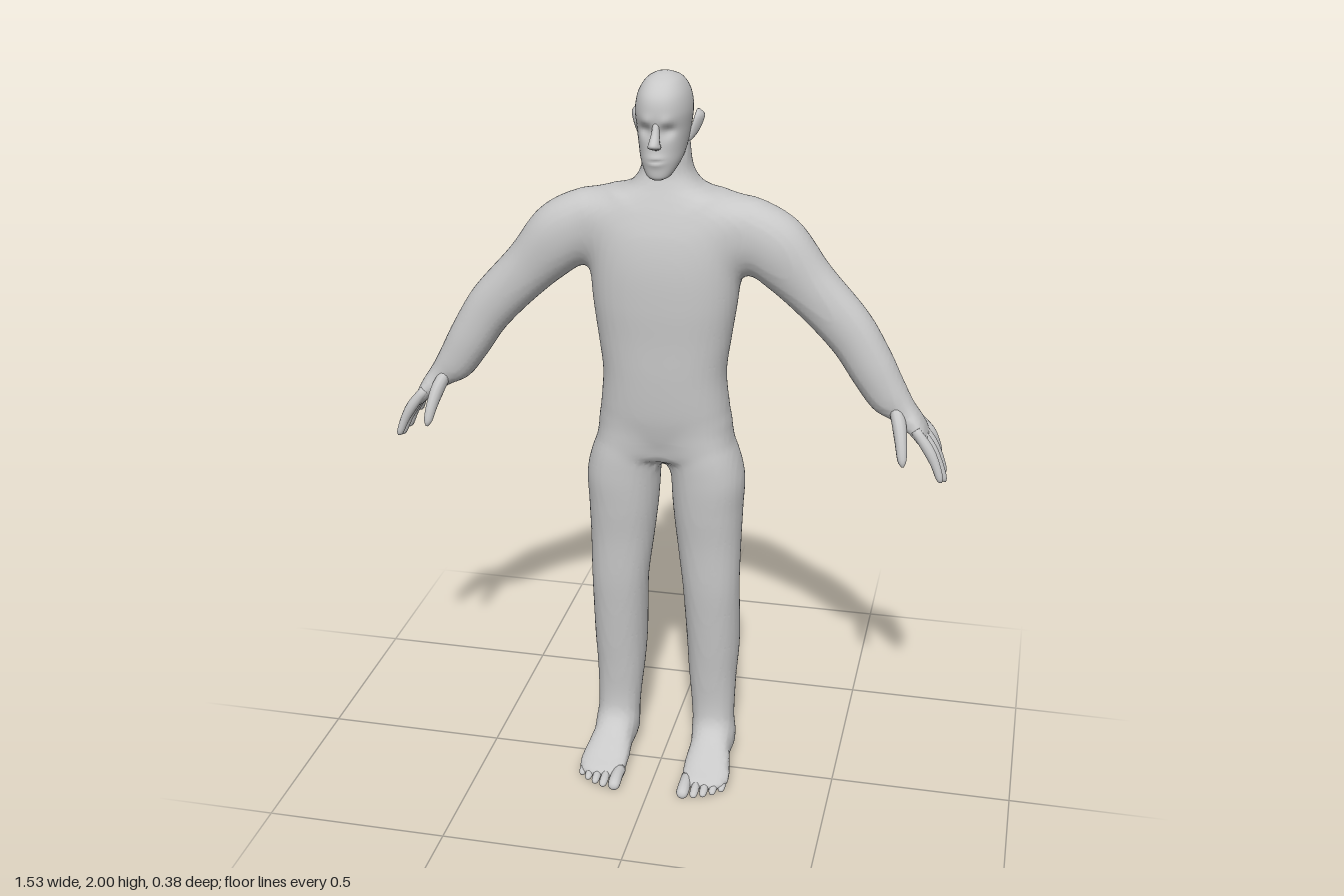
import * as THREE from 'three';

const skin = new THREE.MeshStandardMaterial({ color: 0xc8c8c8 });
skin.name = 'plain grey';

const X = new THREE.Vector3(1, 0, 0);
const Y = new THREE.Vector3(0, 1, 0);
const Z = new THREE.Vector3(0, 0, 1);

function finish(name, pos, index) {
  const g = new THREE.BufferGeometry();
  g.setAttribute('position', new THREE.Float32BufferAttribute(pos, 3));
  g.setIndex(index);
  g.computeVertexNormals();
  const mesh = new THREE.Mesh(g, skin);
  mesh.name = name;
  return mesh;
}

// Smooth closed skin through sections [x, y, z, a, b]: a is the half size along ref,
// b the half size across it. A fixed axis must point along the path. side mirrors x.
function loft(name, sections, { ref = Z, axis = null, side = 1, sides = 12, steps = 4, power = 2, shape = null } = {}) {
  const path = new THREE.CatmullRomCurve3(sections.map(s => new THREE.Vector3(s[0] * side, s[1], s[2])), false, 'catmullrom');
  const size = new THREE.CatmullRomCurve3(sections.map(s => new THREE.Vector3(s[3], s[4], 0)), false, 'catmullrom');
  const rings = (sections.length - 1) * steps;
  const pos = [], index = [];
  const add = v => { if (shape) shape(v); pos.push(v.x, v.y, v.z); };
  const bend = v => Math.sign(v) * Math.pow(Math.abs(v), 2 / power);
  for (let i = 0; i <= rings; i++) {
    const c = path.getPoint(i / rings), r = size.getPoint(i / rings);
    const t = axis || path.getTangent(i / rings);
    const v = ref.clone().addScaledVector(t, -ref.dot(t)).normalize();
    const u = v.clone().cross(t);
    for (let j = 0; j < sides; j++) {
      const w = j / sides * Math.PI * 2;
      add(c.clone().addScaledVector(u, r.y * bend(Math.cos(w))).addScaledVector(v, r.x * bend(Math.sin(w))));
    }
  }
  for (let i = 0; i < rings; i++) for (let j = 0; j < sides; j++) {
    const a = i * sides + j, b = i * sides + (j + 1) % sides;
    index.push(a, b, b + sides, a, b + sides, a + sides);
  }
  // end caps
  const first = (rings + 1) * sides, last = rings * sides;
  add(path.getPoint(0));
  add(path.getPoint(1));
  for (let j = 0; j < sides; j++) {
    const k = (j + 1) % sides;
    index.push(first, k, j, first + 1, last + j, last + k);
  }
  return finish(name, pos, index);
}

// Distance to a limb with rows [s, u, v, half u, half v] along its axis, smoothly interpolated
function limb(axis, uDir, vDir, power, rows) {
  const end = rows.length - 1;
  const slope = rows.map((r, i) => {
    const a = rows[Math.max(i - 1, 0)], b = rows[Math.min(i + 1, end)];
    return r.map((_, n) => (b[n] - a[n]) / (b[0] - a[0]));
  });
  return p => {
    const along = p.dot(axis), s = THREE.MathUtils.clamp(along, rows[0][0], rows[end][0]);
    let i = 0;
    while (i < end - 1 && s > rows[i + 1][0]) i++;
    const a = rows[i], b = rows[i + 1], len = b[0] - a[0], t = (s - a[0]) / len;
    const at = n => a[n] * (1 + 2 * t) * (1 - t) ** 2 + b[n] * t * t * (3 - 2 * t)
      + len * t * (1 - t) * (slope[i][n] * (1 - t) - slope[i + 1][n] * t);
    const du = p.dot(uDir) - at(1), dv = p.dot(vDir) - at(2);
    const ru = Math.max(at(3), 0.003), rv = Math.max(at(4), 0.003);
    const k = Math.pow(Math.pow(Math.abs(du) / ru, power) + Math.pow(Math.abs(dv) / rv, power), 1 / power);
    const d = k < 0.05 ? -Math.min(ru, rv) : (k - 1) * Math.hypot(du, dv) / k;
    return Math.max(d, rows[0][0] - along, along - rows[end][0]);
  };
}

function blend(a, b, k) {
  const h = Math.max(k - Math.abs(a - b), 0) / k;
  return Math.min(a, b) - h * h * k / 4;
}

// Skin over a distance field, one vertex per crossed cell
function skinField(name, field, min, max, h) {
  const n = min.map((m, a) => Math.ceil((max[a] - m) / h) + 1);
  const step = [1, n[0], n[0] * n[1]];
  const f = new Float32Array(step[2] * n[2]), ids = new Int32Array(f.length);
  const pos = [], index = [], p = new THREE.Vector3();
  const each = (from, cut, fn) => {
    for (let k = from; k < n[2] - cut; k++) for (let j = from; j < n[1] - cut; j++)
      for (let i = from; i < n[0] - cut; i++) fn(i + j * step[1] + k * step[2], [i, j, k]);
  };
  each(0, 0, (id, c) => { f[id] = field(p.set(min[0] + c[0] * h, min[1] + c[1] * h, min[2] + c[2] * h)); });
  each(0, 1, (id, c) => {
    const sum = [0, 0, 0];
    let count = 0;
    for (let a = 0; a < 3; a++) for (let q = 0; q < 4; q++) {
      const b = (a + 1) % 3, e = (a + 2) % 3, ob = q & 1, oe = q >> 1;
      const g = id + ob * step[b] + oe * step[e], f0 = f[g], f1 = f[g + step[a]];
      if ((f0 < 0) === (f1 < 0)) continue;
      sum[a] += f0 / (f0 - f1);
      sum[b] += ob;
      sum[e] += oe;
      count++;
    }
    if (!count) return;
    ids[id] = pos.length / 3;
    pos.push(...c.map((v, a) => min[a] + (v + sum[a] / count) * h));
  });
  each(1, 1, id => {
    for (let a = 0; a < 3; a++) {
      if ((f[id] < 0) === (f[id + step[a]] < 0)) continue;
      const sb = step[(a + 1) % 3], sc = step[(a + 2) % 3];
      const q = [id - sb - sc, id - sc, id, id - sb].map(g => ids[g]);
      if (f[id] >= 0) q.reverse();
      index.push(q[0], q[1], q[2], q[0], q[2], q[3]);
    }
  });
  return finish(name, pos, index);
}

// Upright sections given as [y, front z, back z, half width, x]
const upright = rows => rows.map(([y, f, b, w, x = 0]) => [y, x, (f + b) / 2, w, (f - b) / 2]);
const bump = (dx, dy, r) => Math.exp(-(dx * dx + dy * dy) / (r * r));

// Torso, arms, legs and feet joined in one seamless skin
function makeBody() {
  const torso = limb(Y, X, Z, 2.4, upright([
    [0.935, -0.03, -0.09, 0.02], [0.955, 0.02, -0.13, 0.08], [0.995, 0.036, -0.155, 0.155],
    [1.05, 0.05, -0.167, 0.179], [1.1, 0.058, -0.165, 0.174], [1.2, 0.065, -0.158, 0.166], [1.3, 0.068, -0.164, 0.178],
    [1.4, 0.072, -0.177, 0.192], [1.5, 0.07, -0.19, 0.2], [1.58, 0.058, -0.19, 0.205],
    [1.64, 0.038, -0.177, 0.2], [1.68, 0.02, -0.163, 0.15], [1.705, 0.008, -0.153, 0.097],
    [1.74, -0.005, -0.142, 0.07], [1.79, -0.008, -0.138, 0.06], [1.86, -0.03, -0.135, 0.054],
  ]));
  const slant = 0.736;
  const armAxis = new THREE.Vector3(Math.cos(slant), -Math.sin(slant), 0);
  const armUp = new THREE.Vector3(Math.sin(slant), Math.cos(slant), 0);
  const arm = limb(armAxis, armUp, Z, 2.2, [
    [-1.02, 1.29, -0.075, 0.06, 0.06], [-0.94, 1.316, -0.075, 0.086, 0.078], [-0.83, 1.336, -0.075, 0.092, 0.08],
    [-0.69, 1.328, -0.077, 0.074, 0.068], [-0.53, 1.315, -0.077, 0.068, 0.062], [-0.42, 1.286, -0.077, 0.064, 0.061],
    [-0.34, 1.264, -0.075, 0.055, 0.054], [-0.28, 1.261, -0.073, 0.036, 0.046], [-0.23, 1.258, -0.072, 0.025, 0.058],
    [-0.195, 1.25, -0.073, 0.017, 0.065], [-0.175, 1.242, -0.073, 0.009, 0.056],
  ]);
  const leg = limb(Y, X, Z, 2.2, upright([
    [0.06, -0.01, -0.125, 0.046, 0.144], [0.1, -0.008, -0.132, 0.057, 0.141], [0.18, -0.015, -0.133, 0.062, 0.138],
    [0.27, -0.01, -0.152, 0.068, 0.135], [0.36, -0.001, -0.168, 0.074, 0.135], [0.47, 0.01, -0.153, 0.077, 0.133],
    [0.57, 0.019, -0.136, 0.08, 0.13], [0.7, 0.025, -0.15, 0.089, 0.123], [0.8, 0.034, -0.162, 0.096, 0.119],
    [0.9, 0.04, -0.168, 0.1, 0.117], [1.0, 0.036, -0.16, 0.088, 0.1], [1.08, 0.01, -0.13, 0.05, 0.09],
  ]));
  const foot = limb(Z, X, Y, 2.3, [
    [-0.145, 0.143, 0.042, 0.015, 0.018], [-0.125, 0.143, 0.045, 0.044, 0.042], [-0.07, 0.143, 0.055, 0.055, 0.058],
    [-0.005, 0.144, 0.053, 0.057, 0.055], [0.055, 0.147, 0.036, 0.065, 0.04], [0.105, 0.15, 0.022, 0.067, 0.025],
    [0.135, 0.145, 0.018, 0.058, 0.015], [0.148, 0.14, 0.016, 0.045, 0.008],
  ]);
  const field = p => {
    p.x = Math.abs(p.x);
    let d = blend(leg(p), foot(p), 0.04);
    const shoulder = arm(p);
    if (p.z < -0.08 && p.y < 1.7) p.z -= 0.012 * Math.exp(-((p.x / 0.035) ** 2)); // spine groove
    d = blend(d, blend(torso(p), shoulder, 0.055), 0.04);
    return Math.max(d, -p.y); // flat soles
  };
  return skinField('body', field, [-0.76, -0.02, -0.215], [0.76, 1.89, 0.17], 0.0112);
}

function makeHead() {
  const head = new THREE.Group();
  head.name = 'head';
  const skull = upright([
    [1.742, 0.055, 0.015, 0.015], [1.752, 0.064, -0.015, 0.032], [1.785, 0.067, -0.085, 0.051],
    [1.82, 0.067, -0.13, 0.06], [1.865, 0.066, -0.145, 0.067], [1.91, 0.071, -0.149, 0.071],
    [1.95, 0.063, -0.14, 0.064], [1.98, 0.035, -0.11, 0.047], [1.995, 0.0, -0.07, 0.025], [2.0, -0.025, -0.045, 0.008],
  ]);
  head.add(loft('skull', skull.map(([y, x, z, w, d]) => [x, y, z, d, w]), {
    axis: Y, sides: 48, steps: 8, power: 2.2,
    shape: v => { // eye sockets, brow, lips and mouth line
      if (v.z < 0.01) return;
      const x = Math.abs(v.x);
      v.z -= 0.013 * bump(x - 0.03, v.y - 1.868, 0.016);
      v.z += 0.005 * bump(x - 0.025, v.y - 1.893, 0.014);
      v.z += 0.008 * bump(x * 0.6, v.y - 1.793, 0.014);
      v.z -= 0.007 * bump(x * 0.3, v.y - 1.793, 0.005);
    },
  }));
  head.add(loft('nose', [
    [0, 1.822, 0.064, 0.006, 0.008], [0, 1.832, 0.08, 0.02, 0.017], [0, 1.843, 0.084, 0.022, 0.014],
    [0, 1.865, 0.07, 0.014, 0.01], [0, 1.89, 0.06, 0.009, 0.008],
  ], { axis: Y, sides: 16 }));
  for (const s of [1, -1]) {
    head.add(loft('ear', [
      [0.062, 1.822, -0.056, 0.006, 0.005], [0.069, 1.84, -0.062, 0.014, 0.009], [0.076, 1.865, -0.069, 0.02, 0.01],
      [0.079, 1.885, -0.073, 0.018, 0.009], [0.076, 1.9, -0.072, 0.004, 0.003],
    ], { side: s, axis: Y, shape: v => { v.x += s * (-0.06 - v.z) * 0.35; } }));
  }
  return head;
}

function makeFingers(s) {
  const hand = new THREE.Group();
  hand.name = s > 0 ? 'leftFingers' : 'rightFingers';
  // knuckle z, tip z, tip x, tip y
  for (const [k, t, x, y] of [[-0.024, -0.006, 0.752, 0.955], [-0.057, -0.055, 0.76, 0.937], [-0.09, -0.103, 0.756, 0.942], [-0.12, -0.146, 0.737, 0.978]]) {
    const at = (f, lift, r) => [0.675 + (x - 0.675) * f + lift, 1.09 + (y - 1.09) * f, k + (t - k) * f, r, r * 0.95];
    hand.add(loft('finger', [at(0, 0, 0.013), at(0.35, 0.009, 0.016), at(0.65, 0.008, 0.013), at(0.92, 0.001, 0.01), at(1, 0, 0.003)], { side: s, steps: 3 }));
  }
  hand.add(loft('thumb', [
    [0.615, 1.145, -0.06, 0.02, 0.016], [0.632, 1.105, -0.022, 0.026, 0.019], [0.642, 1.065, 0.01, 0.019, 0.016],
    [0.649, 1.025, 0.031, 0.012, 0.012], [0.652, 1.008, 0.037, 0.003, 0.003],
  ], { side: s }));
  return hand;
}

function makeToes(s) {
  const toes = new THREE.Group();
  toes.name = s > 0 ? 'leftToes' : 'rightToes';
  // x, tip z, radius
  for (const [x, z, r] of [[0.099, 0.192, 0.018], [0.131, 0.188, 0.012], [0.156, 0.178, 0.0115], [0.18, 0.163, 0.011], [0.202, 0.143, 0.011]]) {
    toes.add(loft('toe', [
      [x, 0.018, z - 0.085, r, r], [x, 0.018, z - 0.05, r * 0.95, r], [x, 0.014, z - 0.02, r, r * 0.9],
      [x, 0.011, z - 0.005, r * 0.75, r * 0.65], [x, 0.01, z, r * 0.25, r * 0.2],
    ], { ref: X, axis: Z, side: s, steps: 3, shape: v => { v.y = Math.max(v.y, 0); } }));
  }
  return toes;
}

export function createModel() {
  const figure = new THREE.Group();
  figure.name = 'standingFigure';
  figure.add(makeBody(), makeHead());
  for (const s of [1, -1]) figure.add(makeFingers(s), makeToes(s));
  return figure;
}
